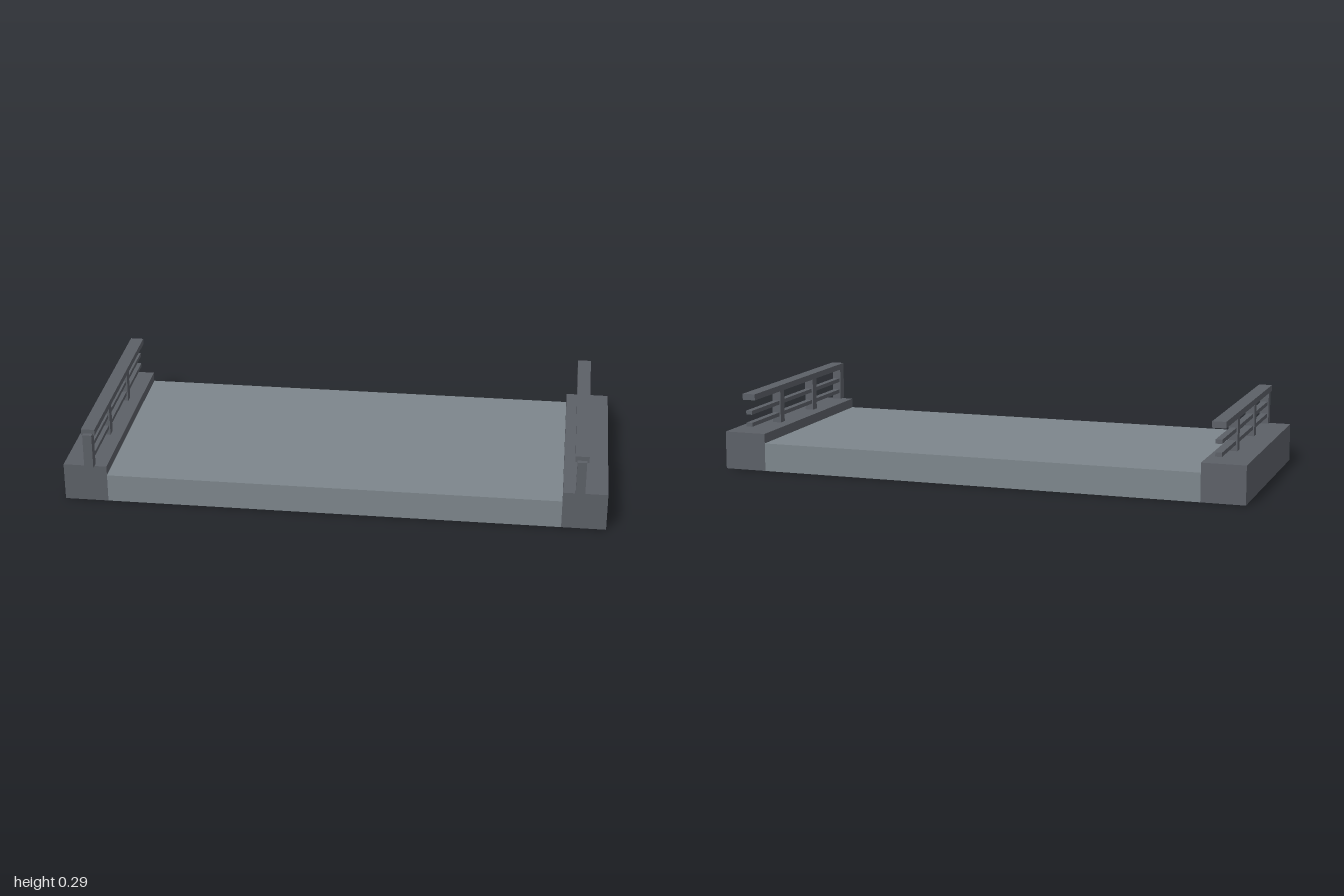
import * as THREE from 'three';

export function createModel() {
  const model = new THREE.Group();
  model.name = 'bridgeDeckSection';

  const road = new THREE.MeshStandardMaterial({ color: 0x7d868c });
  road.name = 'road grey';
  const concrete = new THREE.MeshStandardMaterial({ color: 0x5c6067 });
  concrete.name = 'dark grey';

  // Box given by its min and max on each axis
  function box(parent, name, material, [x0, x1], [y0, y1], [z0, z1]) {
    const mesh = new THREE.Mesh(new THREE.BoxGeometry(x1 - x0, y1 - y0, z1 - z0), material);
    mesh.position.set((x0 + x1) / 2, (y0 + y1) / 2, (z0 + z1) / 2);
    mesh.name = name;
    parent.add(mesh);
  }

  const span = [-0.425, 0.408];
  const curbTop = 0.142;

  // Roadway slab between the curbs
  box(model, 'roadway', road, [-0.838, 0.838], [0, 0.106], span);

  for (const side of [-1, 1]) {
    const half = new THREE.Group();
    half.name = side > 0 ? 'leftSide' : 'rightSide';
    model.add(half);
    const across = (centre, width) => [side * centre - width / 2, side * centre + width / 2];

    // Raised walkway curb
    box(half, 'curb', concrete, across(0.919, 0.162), [0, curbTop], span);

    // Railing posts; the front one stands slightly proud of the slab
    box(half, 'frontPost', concrete, across(0.9, 0.034), [curbTop, 0.275], [0.39, 0.425]);
    for (const z of [0.132, -0.17]) {
      box(half, 'post', concrete, across(0.9, 0.034), [curbTop, 0.268], [z - 0.0175, z + 0.0175]);
    }

    // Handrail and two thin lower rails
    box(half, 'handrail', concrete, across(0.9, 0.05), [0.268, 0.291], span);
    for (const y of [0.174, 0.22]) {
      box(half, 'lowerRail', concrete, across(0.9, 0.024), [y - 0.0075, y + 0.0075], span);
    }
  }
  return model;
}
